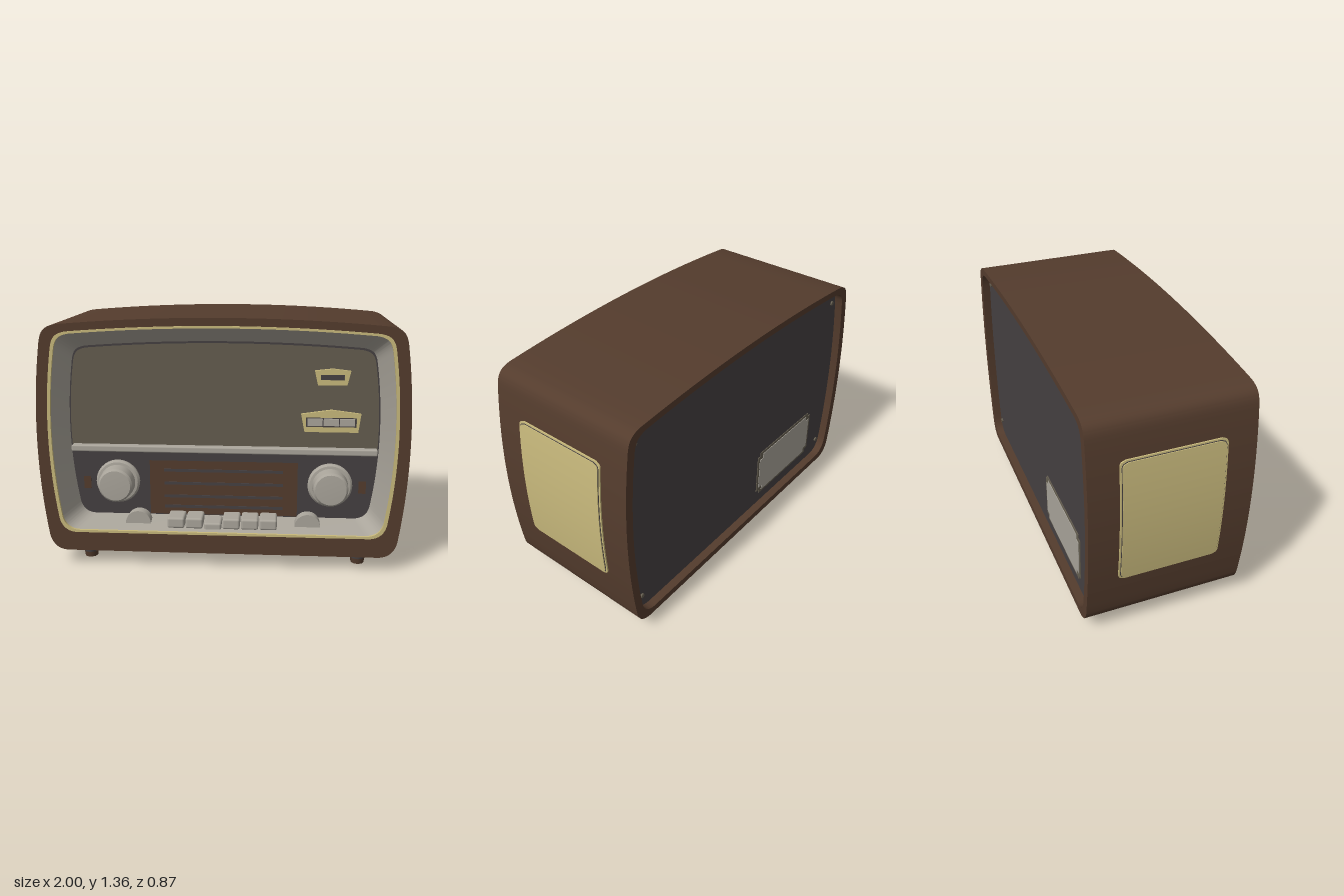
import * as THREE from 'three';
import { toCreasedNormals } from 'three/addons/utils/BufferGeometryUtils.js';
import { RoundedBoxGeometry } from 'three/addons/geometries/RoundedBoxGeometry.js';

const mat = (name, color) => new THREE.MeshStandardMaterial({ name, color });

// Cabinet outline, counterclockwise from the lower right; the flat bottom closes it.
const outline = (() => {
  const s = new THREE.Path();
  s.moveTo(0.84, 0.08);
  s.quadraticCurveTo(0.925, 0.08, 0.945, 0.17);
  s.quadraticCurveTo(1.025, 0.7, 0.95, 1.22);
  s.bezierCurveTo(0.94, 1.29, 0.92, 1.31, 0.86, 1.322);
  s.quadraticCurveTo(0, 1.398, -0.86, 1.322);
  s.bezierCurveTo(-0.92, 1.31, -0.94, 1.29, -0.95, 1.22);
  s.quadraticCurveTo(-1.025, 0.7, -0.945, 0.17);
  s.quadraticCurveTo(-0.925, 0.08, -0.84, 0.08);
  return s.getPoints(20);
})();

// Outline refitted to a width factor and a height range.
const ring = (sx, y0, y1) =>
  outline.map((p) => new THREE.Vector2(p.x * sx, y0 + ((p.y - 0.08) / 1.28) * (y1 - y0)));

// Skin through refitted outlines; z may be a number or a function of y.
function loft(rings) {
  const n = outline.length, pos = [], idx = [];
  rings.forEach(([sx, y0, y1, z], r) => {
    for (const p of ring(sx, y0, y1)) pos.push(p.x, p.y, typeof z === 'function' ? z(p.y) : z);
    if (!r) return;
    for (let i = 0; i < n; i++) {
      const a = (r - 1) * n + i, b = (r - 1) * n + ((i + 1) % n);
      idx.push(a, b, b + n, a, b + n, a + n);
    }
  });
  const g = new THREE.BufferGeometry();
  g.setAttribute('position', new THREE.Float32BufferAttribute(pos, 3));
  g.setIndex(idx);
  return toCreasedNormals(g, 0.5);
}

// The recessed front panel leans slightly forward at the top.
const panelZ = (y) => 0.25 + 0.05 * (y - 0.235);

function leaningPanel(points, lift) {
  const g = new THREE.ShapeGeometry(new THREE.Shape(points));
  const p = g.attributes.position;
  for (let i = 0; i < p.count; i++) p.setZ(i, panelZ(p.getY(i)) + lift);
  g.computeVertexNormals();
  return g;
}

// Rounded plate bent to follow the bulging cabinet side.
function sidePlate(height, width, offset) {
  const g = new THREE.BoxGeometry(0.02, height, width, 1, 72, 1);
  const p = g.attributes.position, r = 0.03;
  for (let i = 0; i < p.count; i++) {
    const y = p.getY(i) + 0.7475, t = (y - 0.17) / 1.05;
    const side = 0.945 * (1 - t) ** 2 + 2.05 * t * (1 - t) + 0.95 * t * t;
    const d = Math.min(r, height / 2 - Math.abs(p.getY(i)));
    const half = width / 2 - r + Math.sqrt(Math.max(0, r * r - (r - d) ** 2));
    p.setXYZ(i, side + offset - (p.getX(i) < 0 ? 0.02 : 0), y, Math.sign(p.getZ(i)) * half);
  }
  g.computeVertexNormals();
  return g;
}

const polygon = (pts) => new THREE.Shape(pts.map(([x, y]) => new THREE.Vector2(x, y)));
const box = (w, h, d) => new THREE.BoxGeometry(w, h, d);

export function createModel() {
  const root = new THREE.Group();
  root.name = 'tableRadio';
  const wood = mat('brown wood', 0x543c2d), gold = mat('pale gold', 0xc8b97c);
  const cream = mat('cream plastic', 0xaaa59b), cloth = mat('speaker cloth', 0x665f51);
  const dark = mat('dark grey', 0x464142);

  const add = (name, geometry, material, x = 0, y = 0, z = 0, parent = root) => {
    const m = new THREE.Mesh(geometry, material);
    m.name = name;
    m.position.set(x, y, z);
    parent.add(m);
    return m;
  };

  // Cabinet shell with a lip at the back and an opening at the front
  add('cabinet', loft([
    [0.955, 0.12, 1.325, -0.38], [0.955, 0.12, 1.325, -0.43], [1, 0.08, 1.36, -0.43],
    [1, 0.08, 1.36, 0.43], [0.935, 0.188, 1.318, 0.43],
  ]), wood);
  add('goldTrim', loft([
    [0.937, 0.187, 1.319, 0.428], [0.937, 0.187, 1.319, 0.435],
    [0.92, 0.2, 1.307, 0.435], [0.92, 0.2, 1.307, 0.42],
  ]), gold);
  add('frontSurround', loft([[0.922, 0.199, 1.308, 0.425], [0.857, 0.235, 1.225, panelZ]]), cream);

  // Recessed front panel: dial below, speaker cloth above, divided by a bar
  add('dialPanel', leaningPanel(ring(0.857, 0.235, 1.225), 0), dark);
  const upper = ring(0.85, 0.235, 1.215).filter((p) => p.y > 0.66);
  add('speakerCloth', leaningPanel(
    [new THREE.Vector2(0.836, 0.63), ...upper, new THREE.Vector2(-0.836, 0.63)], 0.004), cloth);
  add('dividerBar', new RoundedBoxGeometry(1.67, 0.036, 0.05, 2, 0.008), cream, 0, 0.63, 0.29);

  // Tuning scale with dark lines
  add('tuningScale', box(0.82, 0.31, 0.008), wood, 0, 0.4, 0.262);
  for (const y of [0.5, 0.425, 0.35, 0.29])
    add('scaleLine', box(0.66, 0.016, 0.004), dark, 0, y, 0.267);

  // Knobs, thumb wheels and small marks on both sides of the scale
  const knobProfile = [[0, 0], [0.12, 0], [0.122, 0.025], [0.112, 0.036], [0.098, 0.038],
    [0.094, 0.105], [0.084, 0.115], [0, 0.119]].map(([x, y]) => new THREE.Vector2(x, y));
  const knobGeometry = toCreasedNormals(new THREE.LatheGeometry(knobProfile, 40), 0.5);
  for (const s of [-1, 1]) {
    add('knob', knobGeometry, cream, s * 0.587, 0.435, 0.257).rotation.x = Math.PI / 2;
    add('thumbWheel', new THREE.CylinderGeometry(0.07, 0.07, 0.06, 32), cream, s * 0.467, 0.215, 0.32)
      .rotation.x = Math.PI / 2;
    add('knobMark', box(0.04, 0.07, 0.006), wood, s * 0.765, 0.42, 0.26);
  }

  // Row of push keys, the third one pressed in
  for (let i = 0; i < 6; i++)
    add('pushKey', new RoundedBoxGeometry(0.094, 0.06, 0.13, 2, 0.012), cream,
      -0.253 + i * 0.1012, i === 2 ? 0.21 : 0.236, 0.33);

  // Gold badges on the cloth
  const badge = (name, pts, hw, hh, hy, y) => {
    const shape = polygon(pts);
    shape.holes.push(polygon([[-hw, hy - hh], [-hw, hy + hh], [hw, hy + hh], [hw, hy - hh]]));
    const g = new THREE.Group();
    g.name = name;
    g.position.set(0.582, y, panelZ(y) + 0.002);
    root.add(g);
    add('badgePlate', new THREE.ExtrudeGeometry(shape, { depth: 0.022, bevelEnabled: false }),
      gold, 0, 0, 0, g);
    add('badgeInset', box(hw * 2, hh * 2, 0.006), dark, 0, hy, 0.008, g);
    return g;
  };
  badge('upperBadge', [[-0.095, 0.035], [0, 0.046], [0.095, 0.035], [0.077, -0.042], [-0.077, -0.042]],
    0.062, 0.014, 0, 1.04);
  const lower = badge('lowerBadge',
    [[-0.162, 0.038], [0, 0.062], [0.158, 0.042], [0.145, -0.06], [-0.142, -0.06]],
    0.135, 0.026, -0.006, 0.8);
  for (const x of [-0.086, 0, 0.086])
    add('badgeKey', box(0.08, 0.038, 0.02), cream, x, -0.006, 0.014, lower);

  // Curved side grilles
  for (const s of [0, 1]) {
    const g = new THREE.Group();
    g.name = 'sideGrille';
    g.rotation.y = s * Math.PI;
    add('grilleFrame', sidePlate(0.72, 0.545, 0.007), gold, 0, 0, 0, g);
    add('grilleGap', sidePlate(0.704, 0.529, 0.009), dark, 0, 0, 0, g);
    add('grillePanel', sidePlate(0.698, 0.523, 0.013), gold, 0, 0, 0, g);
    root.add(g);
  }

  // Back board with screws and a bordered label
  const back = add('backBoard',
    new THREE.ShapeGeometry(new THREE.Shape(ring(0.958, 0.118, 1.327))), dark, 0, 0, -0.385);
  back.rotation.y = Math.PI;
  for (const x of [-0.86, 0.86]) for (const y of [0.21, 1.21])
    add('screw', new THREE.CylinderGeometry(0.013, 0.013, 0.012, 10), cloth, x, y, -0.388)
      .rotation.x = Math.PI / 2;
  const label = (name, w, h, c, material, z) => add(name, new THREE.ExtrudeGeometry(polygon([
    [-w + c, -h], [w - c, -h], [w - c, -h + c], [w, -h + c], [w, h - c], [w - c, h - c],
    [w - c, h], [-w + c, h], [-w + c, h - c], [-w, h - c], [-w, -h + c], [-w + c, -h + c],
  ]), { depth: 0.004, bevelEnabled: false }), material, -0.46, 0.345, z);
  label('labelBorder', 0.285, 0.155, 0.025, cloth, -0.39);
  label('labelPlate', 0.268, 0.138, 0.032, cream, -0.393);

  // Tapered feet with wooden tips
  for (const x of [-0.75, 0.75]) for (const z of [-0.3, 0.3]) {
    const up = new THREE.CylinderGeometry(0.046, 0.041, 0.055, 8);
    const tip = new THREE.CylinderGeometry(0.041, 0.036, 0.03, 8);
    add('foot', up, dark, x, 0.0575, z);
    add('footTip', tip, wood, x, 0.015, z);
  }
  return root;
}
